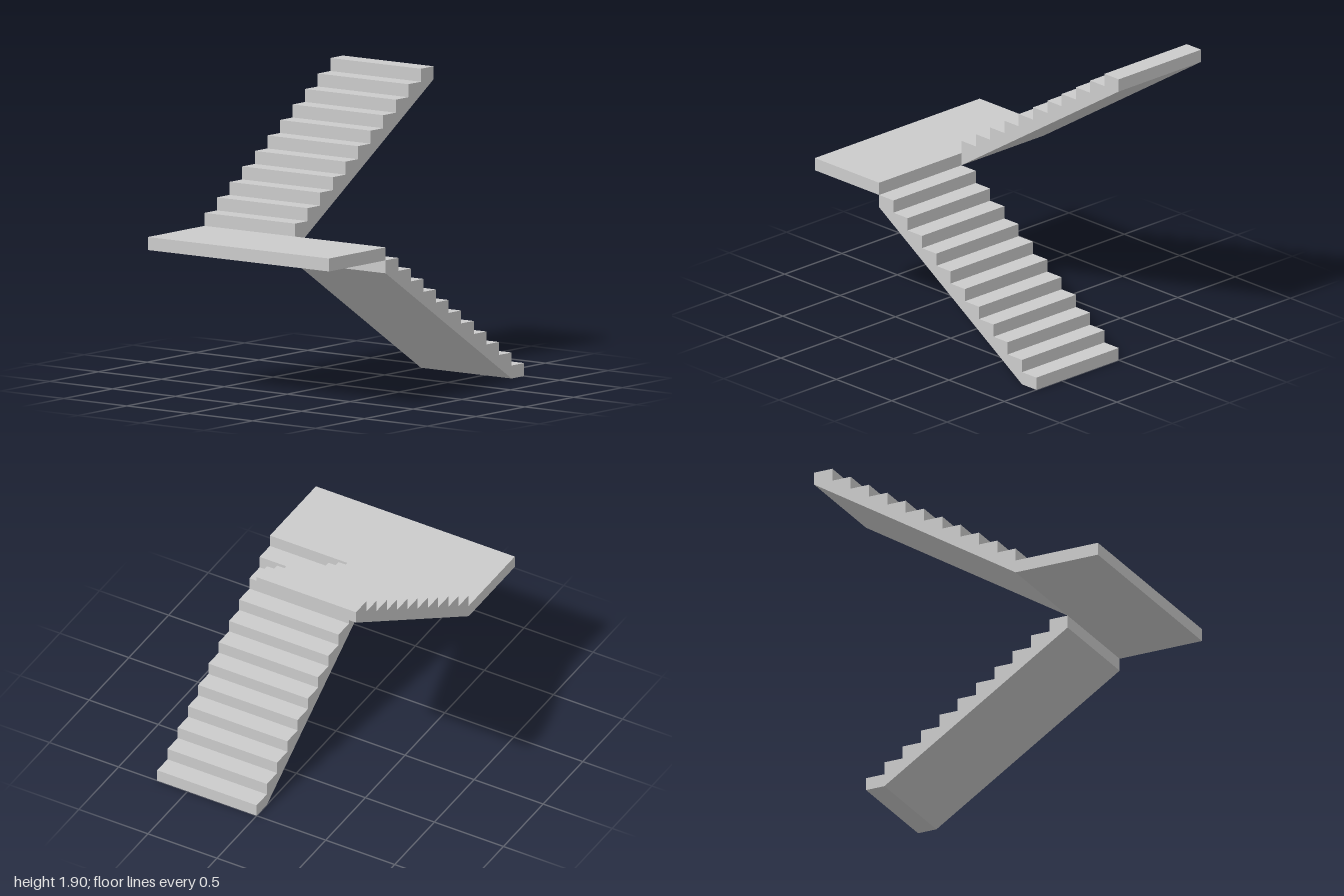
import * as THREE from 'three';

const STEPS = 11;
const WIDTH = 0.72;
const BACK = -1, FRONT = 0.42;            // z range of both flights
const RISE = 1.9 / 23;
const RUN = (FRONT - BACK) / STEPS;
const LANDING_Y = STEPS * RISE;           // underside of the landing

const material = new THREE.MeshStandardMaterial({ color: 0xcccccc, flatShading: true });

// Extrudes a side profile of [z, y] points along x, starting at x0
function flight(name, points, x0) {
  const shape = new THREE.Shape(points.map(([z, y]) => new THREE.Vector2(-z, y)));
  const geometry = new THREE.ExtrudeGeometry(shape, { depth: WIDTH, bevelEnabled: false });
  geometry.rotateY(Math.PI / 2);
  const mesh = new THREE.Mesh(geometry, material);
  mesh.name = name;
  mesh.position.x = x0;
  return mesh;
}

export function createModel() {
  const group = new THREE.Group();
  group.name = 'staircase';

  // Lower flight climbs from the back to the landing, with a flat foot
  const lower = [[BACK + RUN, 0], [BACK, 0]];
  for (let i = 0; i < STEPS; i++) {
    const y = (i + 1) * RISE;
    lower.push([BACK + i * RUN, y], [BACK + (i + 1) * RUN, y]);
  }
  lower.push([FRONT, LANDING_Y - RISE]);
  group.add(flight('lowerFlight', lower, 0));

  // Upper flight climbs from the landing towards the back
  const upper = [[FRONT, LANDING_Y]];
  for (let i = 0; i < STEPS; i++) {
    const y = LANDING_Y + (i + 2) * RISE;
    upper.push([FRONT - i * RUN, y], [FRONT - (i + 1) * RUN, y]);
  }
  upper.push([BACK, LANDING_Y + STEPS * RISE]);
  group.add(flight('upperFlight', upper, -WIDTH));

  // Landing slab joining both flights
  const depth = 1 - FRONT;
  const landing = new THREE.Mesh(new THREE.BoxGeometry(2 * WIDTH, RISE, depth), material);
  landing.name = 'landing';
  landing.position.set(0, LANDING_Y + RISE / 2, FRONT + depth / 2);
  group.add(landing);

  return group;
}
